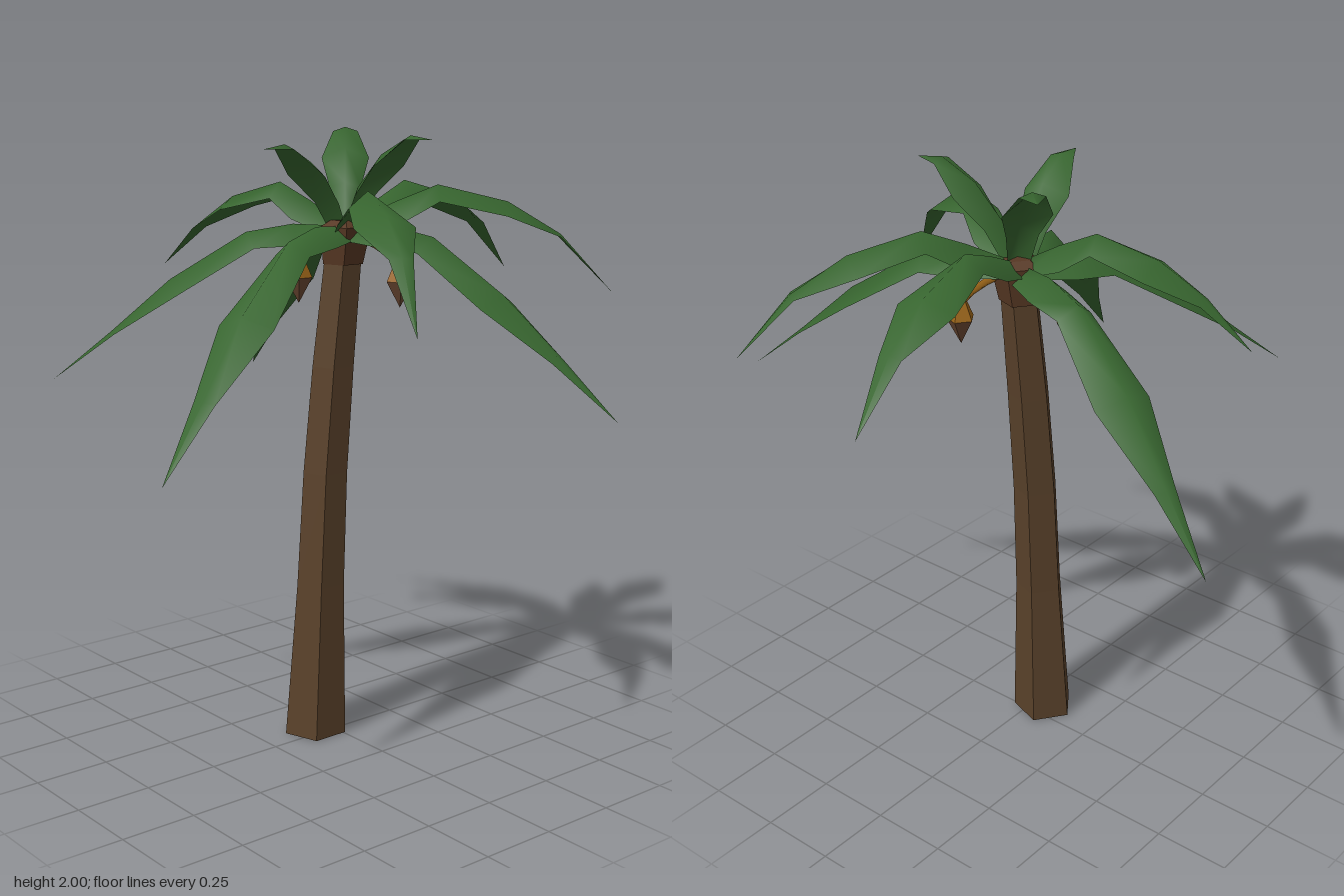
import * as THREE from 'three';

const mat = (name, color, extra = {}) => {
  const m = new THREE.MeshStandardMaterial({ color, ...extra });
  m.name = name;
  return m;
};

// Faceted loft through rings [x, y, z, radius], listed from bottom to top
function loft(rings, sides = 5, start = -Math.PI / 2) {
  const pos = [];
  const pt = ([x, y, z, r], k) => {
    const a = start + (k / sides) * Math.PI * 2;
    return [x + r * Math.cos(a), y, z + r * Math.sin(a)];
  };
  for (let i = 0; i < rings.length - 1; i++) {
    const lo = rings[i], hi = rings[i + 1];
    for (let k = 0; k < sides; k++) {
      if (lo[3] > 0) pos.push(...pt(lo, k), ...pt(hi, k), ...pt(lo, k + 1));
      if (hi[3] > 0) pos.push(...pt(lo, k + 1), ...pt(hi, k), ...pt(hi, k + 1));
    }
  }
  const g = new THREE.BufferGeometry();
  g.setAttribute('position', new THREE.Float32BufferAttribute(pos, 3));
  g.computeVertexNormals();
  return g;
}

// Leaf with a raised spine, folded most near its base; stations are [s, y, halfWidth, fold]
const HUB = new THREE.Vector3(0.045, 0, 0);
function leaf(tipX, tipZ, stations) {
  const dir = new THREE.Vector3(tipX, 0, tipZ).sub(HUB);
  const side = new THREE.Vector3(-dir.z, 0, dir.x).normalize();
  const spine = stations.map(([s, y]) => HUB.clone().addScaledVector(dir, s).setY(y));
  const last = spine.length - 1, pos = [], idx = [];
  spine.forEach((p, i) => {
    const tangent = spine[Math.min(i + 1, last)].clone().sub(spine[Math.max(i - 1, 0)]).normalize();
    const up = side.clone().cross(tangent);
    const [, , w, fold] = stations[i];
    for (const k of [-1, 0, 1]) {
      const v = p.clone().addScaledVector(side, k * w).addScaledVector(up, -Math.abs(k) * fold * w);
      pos.push(...v.toArray());
    }
  });
  for (let i = 0; i < last; i++)
    for (const a of [3 * i, 3 * i + 1]) idx.push(a, a + 1, a + 3, a + 1, a + 4, a + 3);
  const g = new THREE.BufferGeometry();
  g.setAttribute('position', new THREE.Float32BufferAttribute(pos, 3));
  g.setIndex(idx);
  g.computeVertexNormals();
  return g;
}

export function createModel() {
  const model = new THREE.Group();
  model.name = 'palmTree';
  const bark = mat('bark', 0x59412a, { side: THREE.DoubleSide });
  const crownBark = mat('crownBark', 0x573824);
  const green = mat('leafGreen', 0x37652f, { side: THREE.DoubleSide });
  const gold = mat('stemGold', 0x9a6418);
  const husk = mat('huskBrown', 0x6b4832);

  const add = (name, geometry, material, parent = model) => {
    const m = new THREE.Mesh(geometry, material);
    m.name = name;
    parent.add(m);
  };

  // Leaning five-sided trunk, open below, and the flared crown on top
  add('trunk', loft([
    [-0.055, 0, -0.035, 0.105],
    [-0.037, 0.52, -0.028, 0.081],
    [-0.018, 0.9, -0.026, 0.075],
    [0.01, 1.25, -0.02, 0.07],
    [0.043, 1.6, -0.01, 0.062],
  ]), bark);
  add('crown', loft([
    [0.043, 1.58, -0.01, 0],
    [0.043, 1.58, -0.01, 0.067],
    [0.045, 1.7, 0, 0.086],
    [0.045, 1.72, 0, 0.05],
    [0.045, 1.72, 0, 0],
  ]), crownBark);

  const leaves = new THREE.Group();
  leaves.name = 'leaves';
  model.add(leaves);
  const S = [0, 0.18, 0.34, 0.6, 0.8, 1];
  const W = [0.045, 0.07, 0.06, 0.095, 0.037, 0];
  const F = [0.9, 0.9, 0.85, 0.45, 0.25, 0];

  // Long drooping leaves: [tipX, tipY, tipZ]
  const fall = [0, -0.02, 0.03, 0.34, 0.68, 1];
  for (const [x, y, z] of [[0.37, 1.09, -0.945], [-0.92, 1.07, 0.38], [0.3, 1.18, 0.945], [-0.76, 1.23, -0.475]])
    add('droopingLeaf', leaf(x, z, S.map((s, i) => [s, 1.7 - (1.7 - y) * fall[i], W[i], F[i]])), green, leaves);

  // Arching leaves that rise before they fall
  const arch = [1.7, 1.775, 1.83, 1.775, 1.67];
  for (const [x, y, z] of [[0.92, 1.49, -0.155], [0.75, 1.48, 0.51], [-0.29, 1.46, 0.72], [-0.17, 1.53, -0.72]])
    add('archingLeaf', leaf(x, z, S.map((s, i) => [s, arch[i] ?? y, W[i], F[i]])), green, leaves);

  // Short upright leaves in the middle
  const us = [0, 0.15, 0.42, 0.75, 1];
  const rise = [-0.27, -0.155, -0.05, 0.012, 0];
  const uw = [0.035, 0.05, 0.077, 0.04, 0];
  const uf = [0.8, 0.8, 0.6, 0.35, 0];
  for (const [x, y, z] of [[-0.33, 1.955, 0.07], [0.24, 1.99, -0.235], [0.1, 1.98, 0.35]])
    add('uprightLeaf', leaf(x, z, us.map((s, i) => [s, y + rise[i], uw[i], uf[i]])), green, leaves);

  // Hanging nuts, each with a slightly curved stem
  for (const [x, z] of [[0.17, 0.125], [-0.015, -0.165]]) {
    const nut = new THREE.Group();
    nut.name = 'hangingNut';
    model.add(nut);
    add('nutBody', loft([[x, 1.44, z, 0], [x, 1.525, z, 0.046]]), husk, nut);
    add('nutCap', loft([[x, 1.525, z, 0.046], [x, 1.585, z, 0.02], [x, 1.585, z, 0]]), gold, nut);
    const stem = new THREE.QuadraticBezierCurve3(
      new THREE.Vector3(0.045, 1.68, 0),
      new THREE.Vector3(0.045 + (x - 0.045) * 0.7, 1.645, z * 0.7),
      new THREE.Vector3(x, 1.575, z));
    add('nutStem', new THREE.TubeGeometry(stem, 4, 0.012, 4), gold, nut);
  }
  return model;
}
